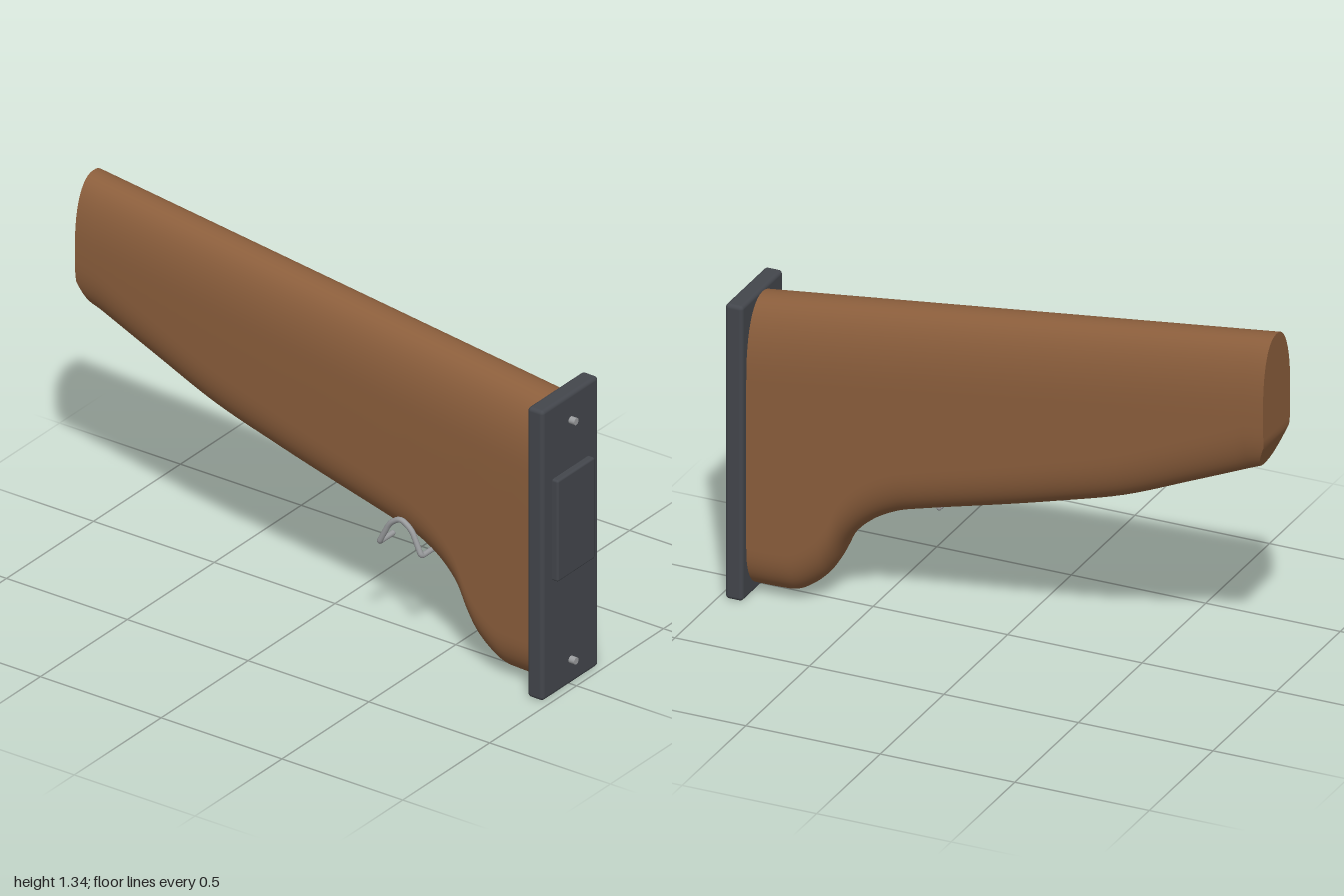
import * as THREE from 'three';
import { RoundedBoxGeometry } from 'three/addons/geometries/RoundedBoxGeometry.js';

const mat = (color) => new THREE.MeshStandardMaterial({ color });

// Right half of a cross-section, bottom centre to top centre: two rounded ends joined by flat sides
function halfSection(w, bottom, top, hBottom, hTop) {
  const steps = 12, e = 2 / 2.3, pts = [];
  for (let i = 0; i <= steps; i++) {
    const t = (i / steps) * Math.PI / 2;
    pts.push([w * Math.sin(t) ** e, bottom + hBottom * (1 - Math.max(0, Math.cos(t)) ** e)]);
  }
  for (let i = 0; i <= steps; i++) {
    const t = (i / steps) * Math.PI / 2;
    pts.push([w * Math.max(0, Math.cos(t)) ** e, top - hTop * (1 - Math.sin(t) ** e)]);
  }
  pts[0][0] = pts[pts.length - 1][0] = 0;
  return pts;
}

function buildStock(material) {
  // Underside line as (z, y), from toe to wrist
  const underside = new THREE.SplineCurve([
    [0.93, 0.02], [0.82, 0.02], [0.745, 0.03], [0.67, 0.085], [0.625, 0.15], [0.575, 0.25],
    [0.5, 0.33], [0.4, 0.39], [0.28, 0.427], [0, 0.5], [-0.2, 0.555], [-0.45, 0.63],
    [-0.7, 0.735], [-0.955, 0.845],
  ].map(([z, y]) => new THREE.Vector2(z, y)));
  const line = underside.getPoints(78);
  const pos = [], body = [], cap = [];
  let n = 0, m = 0;
  line.forEach((p, i) => {
    const last = i === line.length - 1;
    const k = last ? 1 : (0.91 - p.x) / 1.91;
    const top = 1.095 + 0.245 * k;
    const right = halfSection(0.13 - 0.023 * k, p.y, top, 0.17 + 0.03 * k, 0.28 - 0.03 * k);
    const left = right.slice(1, -1).reverse().map(([x, y]) => [-x, y]);
    const ring = [...right, ...left];
    m = right.length;
    n = ring.length;
    for (const [x, y] of ring) {
      // The wrist end is upright, with its lower part cut back at a slant
      const z = last ? -0.955 - 0.045 * Math.min(1, (y - 0.845) / 0.115) : p.x;
      pos.push(x, y, z);
    }
  });
  for (let i = 0; i < line.length - 1; i++) {
    for (let j = 0; j < n; j++) {
      const a = i * n + j, b = i * n + (j + 1) % n;
      body.push(a, a + n, b, b, a + n, b + n);
    }
  }
  const base = (line.length - 1) * n;
  for (let j = 0; j < m - 1; j++) {
    const r0 = base + j, r1 = r0 + 1;
    const l0 = base + (n - j) % n, l1 = base + n - j - 1;
    if (j > 0) cap.push(r0, l0, r1);
    if (j < m - 2) cap.push(l0, l1, r1);
  }
  const make = (index, name) => {
    const g = new THREE.BufferGeometry();
    g.setAttribute('position', new THREE.Float32BufferAttribute(pos, 3));
    g.setIndex(index);
    g.computeVertexNormals();
    const mesh = new THREE.Mesh(g, material);
    mesh.name = name;
    return mesh;
  };
  const group = new THREE.Group();
  group.name = 'woodenStock';
  group.add(make(body, 'stockBody'), make(cap, 'stockEndFace'));
  return group;
}

export function createModel() {
  const model = new THREE.Group();
  model.name = 'stock';
  const wood = mat(0x8b5e3c), dark = mat(0x43464c), steel = mat(0x9a9c9e);
  const add = (name, geometry, material, x, y, z) => {
    const mesh = new THREE.Mesh(geometry, material);
    mesh.name = name;
    mesh.position.set(x, y, z);
    model.add(mesh);
    return mesh;
  };

  model.add(buildStock(wood));

  // Butt plate with its raised hatch
  add('buttPlate', new RoundedBoxGeometry(0.322, 1.105, 0.066, 3, 0.014), dark, 0, 0.5525, 0.943);
  add('hatch', new RoundedBoxGeometry(0.214, 0.386, 0.05, 3, 0.008), dark, 0, 0.633, 0.975);

  // Screws
  for (const y of [1.007, 0.094]) {
    add('screw', new THREE.CylinderGeometry(0.013, 0.013, 0.04, 20), steel, 0, y, 0.979)
      .rotation.x = Math.PI / 2;
  }

  // Sling loop: bent wire on the right side with both ends turned inward
  const corners = [
    [-0.065, 0.387, 0.285], [-0.143, 0.387, 0.285], [-0.143, 0.475, 0.33],
    [-0.143, 0.505, 0.375], [-0.143, 0.475, 0.42], [-0.143, 0.387, 0.46], [-0.065, 0.387, 0.46],
  ].map((p) => new THREE.Vector3(...p));
  const wire = new THREE.CurvePath();
  let from = corners[0];
  for (let i = 1; i < corners.length - 1; i++) {
    const c = corners[i];
    const r = i === 1 || i === 5 ? 0.012 : 0.022;
    const inn = c.clone().add(corners[i - 1].clone().sub(c).setLength(r));
    const out = c.clone().add(corners[i + 1].clone().sub(c).setLength(r));
    wire.add(new THREE.LineCurve3(from, inn));
    wire.add(new THREE.QuadraticBezierCurve3(inn, c, out));
    from = out;
  }
  wire.add(new THREE.LineCurve3(from, corners[corners.length - 1]));
  add('slingLoop', new THREE.TubeGeometry(wire, 90, 0.01, 10), steel, 0, 0, 0);
  for (const c of [corners[0], corners[corners.length - 1]]) {
    add('slingLoopEnd', new THREE.SphereGeometry(0.01, 10, 8), steel, c.x, c.y, c.z);
  }
  return model;
}
